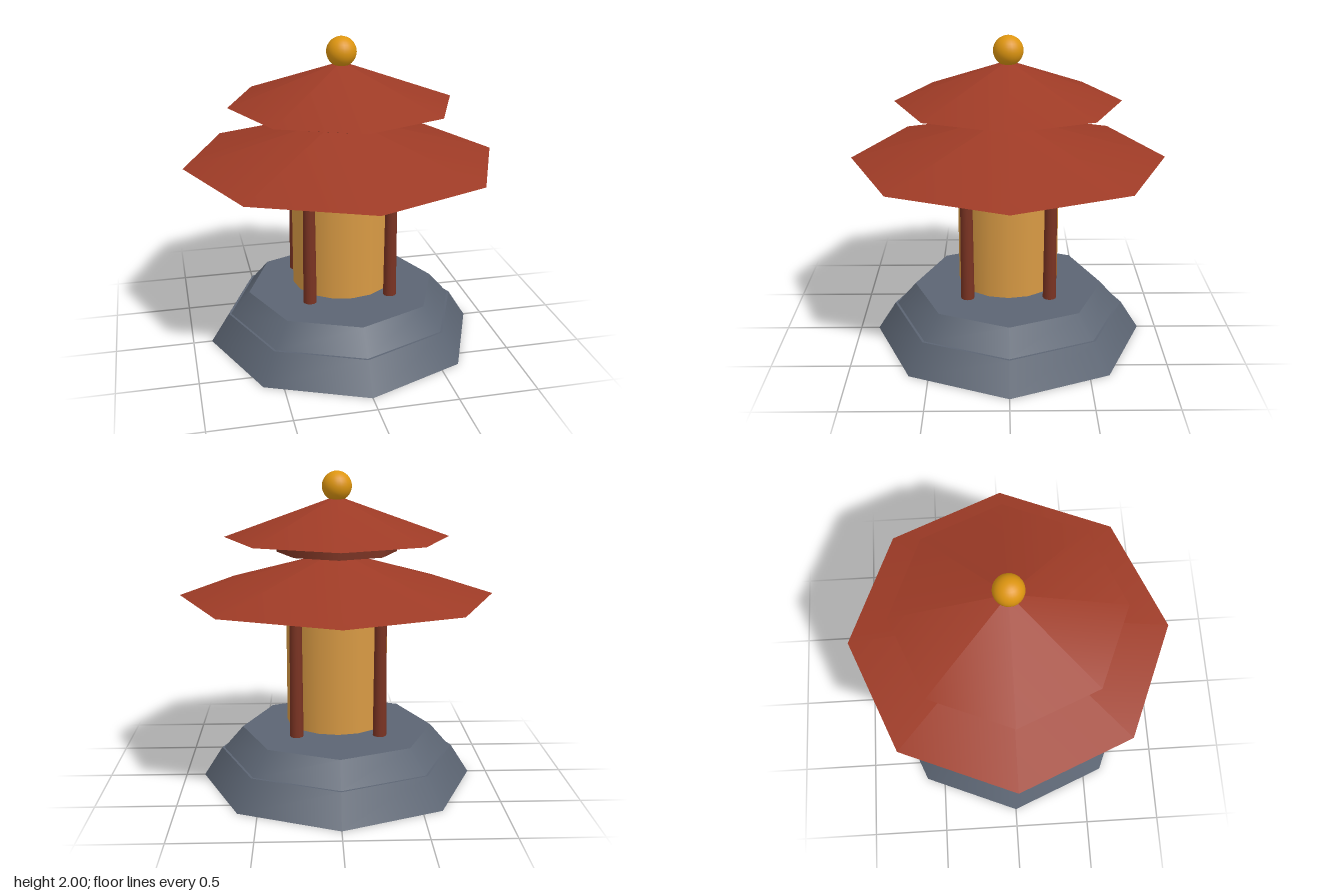
import * as THREE from 'three';

const mat = (name, color) => {
  const m = new THREE.MeshStandardMaterial({ color });
  m.name = name;
  return m;
};

export function createModel() {
  const roofRed = mat('roof red', 0x9e3b26);
  const woodBrown = mat('dark red wood', 0x7a3322);
  const wallOchre = mat('ochre wall', 0xd89a44);
  const stoneGrey = mat('stone grey', 0x5c6573);
  const gold = mat('gold', 0xdd9510);

  const model = new THREE.Group();
  model.name = 'pagoda';

  // Vertical frustum between heights y0 and y1, a corner facing +z
  const tier = (name, material, rBottom, rTop, y0, y1, sides, x = 0, z = 0) => {
    const mesh = new THREE.Mesh(new THREE.CylinderGeometry(rTop, rBottom, y1 - y0, sides), material);
    mesh.position.set(x, (y0 + y1) / 2, z);
    mesh.name = name;
    model.add(mesh);
  };
  // Octagonal pointed roof
  const roof = (name, radius, y0, y1) => {
    const mesh = new THREE.Mesh(new THREE.ConeGeometry(radius, y1 - y0, 8), roofRed);
    mesh.position.y = (y0 + y1) / 2;
    mesh.name = name;
    model.add(mesh);
  };

  // Stepped stone base
  tier('lowerBase', stoneGrey, 0.88, 0.76, 0, 0.19, 8);
  tier('upperBase', stoneGrey, 0.745, 0.62, 0.19, 0.335, 8);

  // Round hall and its four pillars
  tier('hall', wallOchre, 0.325, 0.325, 0.385, 1.23, 16);
  for (const x of [-0.262, 0.262])
    for (const z of [-0.262, 0.262])
      tier('pillar', woodBrown, 0.043, 0.036, 0.36, 1.24, 12, x, z);

  // Two roofs with a drum between them
  roof('lowerRoof', 1, 1.22, 1.5);
  tier('drum', woodBrown, 0.38, 0.38, 1.495, 1.595, 8);
  roof('upperRoof', 0.71, 1.59, 1.845);

  // Golden ball on top
  const finial = new THREE.Mesh(new THREE.SphereGeometry(0.094, 24, 16), gold);
  finial.position.y = 1.906;
  finial.name = 'finial';
  model.add(finial);

  return model;
}
